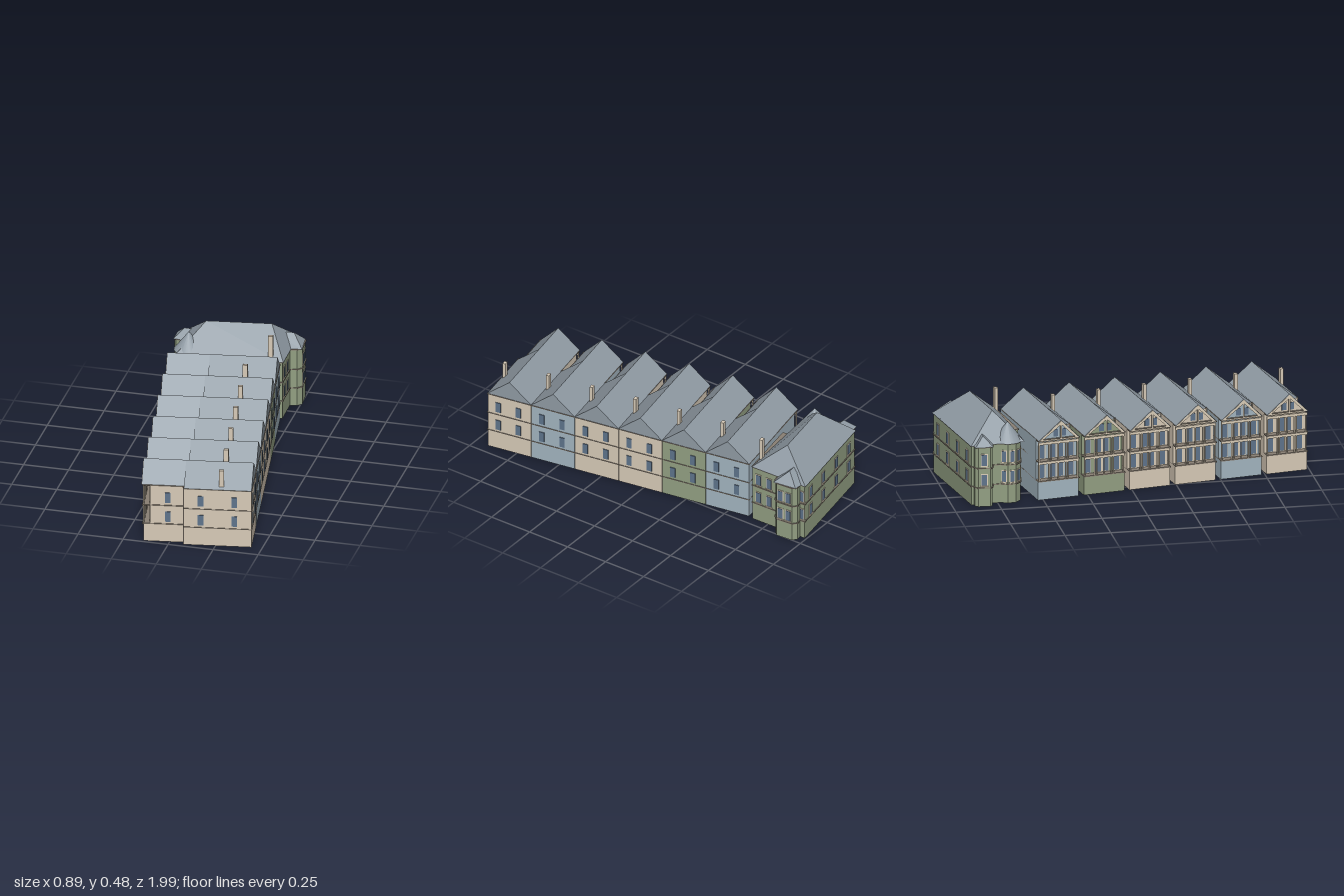
import * as THREE from 'three';

const mat = (color, extra = {}) => new THREE.MeshStandardMaterial({ color, flatShading: true, ...extra });
const M = {
  beige: mat(0xd8cbb8), blue: mat(0xa3b5c0), green: mat(0x93a083), roof: mat(0x909ba4),
  glass: mat(0x5f748c), trim: mat(0x8a8074), cream: mat(0xdccfb9),
};
const FLOORS = [0.15, 0.262];          // window centre heights
const BANDS = [0.105, 0.215, 0.333];   // string courses
const EAVE = 0.335, RIDGE = 0.442, ANGLE = 0.16;

function add(group, name, geometry, material) {
  const m = new THREE.Mesh(geometry, material);
  m.name = name;
  group.add(m);
  return m;
}

function box(group, name, material, x0, x1, y0, y1, z0, z1) {
  const m = add(group, name, new THREE.BoxGeometry(x1 - x0, y1 - y0, z1 - z0), material);
  m.position.set((x0 + x1) / 2, (y0 + y1) / 2, (z0 + z1) / 2);
  return m;
}

// Upright prism over a plan outline of [x, z] points
function prism(group, name, material, pts, y0, y1) {
  const shape = new THREE.Shape(pts.map(([x, z]) => new THREE.Vector2(x, -z)));
  const g = new THREE.ExtrudeGeometry(shape, { depth: y1 - y0, bevelEnabled: false });
  return add(group, name, g.rotateX(-Math.PI / 2).translate(0, y0, 0), material);
}

// A [z, y] cross-section, optionally with a hole, swept along x
function sweep(group, name, material, pts, x0, x1, hole) {
  const v = (p) => p.map(([z, y]) => new THREE.Vector2(-z, y));
  const shape = new THREE.Shape(v(pts));
  if (hole) shape.holes.push(new THREE.Path(v(hole)));
  const g = new THREE.ExtrudeGeometry(shape, { depth: x1 - x0, bevelEnabled: false });
  return add(group, name, g.rotateY(Math.PI / 2).translate(x0, 0, 0), material);
}

// Framed windows spaced along a wall from a to b, outside on the left of travel
function wallWindows(group, a, b, fractions, framed, width = 0.03) {
  const dx = b[0] - a[0], dz = b[1] - a[1], rot = -Math.atan2(dz, dx);
  for (const f of fractions) for (const y of FLOORS) {
    const put = (name, material, w, h, d, dy = 0) => {
      const m = add(group, name, new THREE.BoxGeometry(w, h, d), material);
      m.position.set(a[0] + dx * f, y + dy, a[1] + dz * f);
      m.rotation.y = rot;
    };
    if (framed) {
      put('windowFrame', M.cream, width + 0.008, 0.07, 0.005);
      put('windowSill', M.cream, width + 0.014, 0.005, 0.012, -0.036);
    }
    put('window', M.glass, width, 0.06, 0.008);
  }
}

// Terrace house: full-width rear part, narrower street part with loggias
function terraceHouse(wall, index) {
  const h = new THREE.Group();
  h.name = 'terraceHouse';
  const U0 = -0.296, UL = -0.26, US = -0.075, U1 = 0.29, W = 0.258, N = 0.232, mid = 0.129;

  box(h, 'rearWalls', wall, US, U1, 0, EAVE, 0, W);
  box(h, 'streetGroundFloor', wall, U0, US, 0, 0.105, 0, N);
  box(h, 'streetUpperWalls', wall, UL, US, 0.105, EAVE, 0, N);
  for (const y of BANDS) {
    box(h, 'rearStringCourse', M.trim, US - 0.003, U1 + 0.003, y - 0.002, y + 0.002, -0.001, W + 0.004);
    box(h, 'loggiaSlab', M.trim, U0 - 0.006, US, y - 0.003, y + 0.003, 0, N + 0.004);
  }
  box(h, 'downpipe', M.trim, US - 0.004, US, 0, 0.34, W - 0.004, W + 0.002);

  // roof
  sweep(h, 'rearRoof', M.roof, [[0, EAVE], [W + 0.003, EAVE], [mid, RIDGE]], US, U1);
  sweep(h, 'streetRoof', M.roof, [[0, EAVE], [N + 0.002, EAVE], [mid, RIDGE]], -0.272, US);
  sweep(h, 'roofOverhang', M.roof, [[0, EAVE], [N + 0.002, EAVE], [mid, RIDGE]], -0.304, -0.272,
    [[0.012, EAVE + 0.002], [N - 0.012, EAVE + 0.002], [mid, RIDGE - 0.012]]);
  sweep(h, 'gablePanel', wall, [[0.012, EAVE], [N - 0.012, EAVE], [mid, RIDGE - 0.011]], -0.277, -0.271);
  sweep(h, 'bargeboard', M.cream, [[0.004, EAVE], [N - 0.002, EAVE], [mid, RIDGE - 0.004]], -0.306, -0.3,
    [[0.026, EAVE + 0.006], [N - 0.024, EAVE + 0.006], [mid, RIDGE - 0.024]]);
  box(h, 'gablePost', M.cream, -0.305, -0.299, EAVE, RIDGE - 0.015, mid - 0.004, mid + 0.004);
  box(h, 'gableWindow', M.glass, -0.28, -0.27, 0.345, 0.385, mid - 0.035, mid - 0.008);
  box(h, 'gableWindow', M.glass, -0.28, -0.27, 0.345, 0.385, mid + 0.008, mid + 0.035);
  box(h, 'chimney', M.beige, 0.113, 0.139, 0.335, RIDGE, 0.228, 0.246);

  // loggias
  for (const y0 of [0.108, 0.218]) {
    const top = y0 + 0.112;
    box(h, 'loggiaBeam', M.cream, U0 - 0.003, U0 + 0.004, top - 0.02, top - 0.005, 0.002, N);
    for (const z of [0.006, 0.062, 0.074, 0.116, 0.158, 0.17, N - 0.006])
      box(h, 'loggiaPost', M.cream, U0 - 0.002, U0 + 0.004, y0, top - 0.005, z - 0.003, z + 0.003);
    for (const z of [0.034, 0.095, 0.137, 0.198]) {
      box(h, 'loggiaWindowFrame', M.cream, UL - 0.004, UL, y0 + 0.002, y0 + 0.09, z - 0.02, z + 0.02);
      box(h, 'loggiaWindow', M.glass, UL - 0.006, UL, y0 + 0.006, y0 + 0.084, z - 0.015, z + 0.015);
    }
  }

  // windows in the rear wall, and in the end wall of the first house
  wallWindows(h, [U1, 0], [U1, W], [0.29, 0.76], false);
  if (index === 0) {
    wallWindows(h, [U1, W], [US, W], [0.255, 0.753], false);
    wallWindows(h, [US, N], [UL, N], [0.48], false);
  }
  return h;
}

// Hipped roof from four eave corners and two ridge points
function hipRoof(group, name, c, r, y0, y1) {
  const p = [...c.map(([x, z]) => [x, y0, z]), ...r.map(([x, z]) => [x, y1, z])];
  const faces = [[0, 4, 5], [0, 5, 1], [1, 5, 2], [2, 5, 4], [2, 4, 3], [3, 4, 0]];
  const g = new THREE.BufferGeometry();
  g.setAttribute('position', new THREE.Float32BufferAttribute(faces.flat().flatMap((i) => p[i]), 3));
  g.computeVertexNormals();
  add(group, name, g, mat(0x909ba4, { side: THREE.DoubleSide }));
}

function cornerHouse() {
  const h = new THREE.Group();
  h.name = 'cornerHouse';
  const body = [[-0.4, -0.895], [0.195, -0.99], [0.2, -0.65], [-0.16, -0.595], [-0.165, -0.625], [-0.34, -0.625], [-0.38, -0.72]];
  const leftBay = [[-0.35, -0.775], [-0.425, -0.785], [-0.438, -0.8], [-0.432, -0.865], [-0.418, -0.88], [-0.35, -0.885]];
  const rightBay = [[0.17, -0.955], [0.225, -0.965], [0.25, -0.945], [0.258, -0.85], [0.235, -0.825], [0.17, -0.815]];
  const turret = Array.from({ length: 10 }, (_, i) => {
    const a = (i / 10) * Math.PI * 2 + 0.15;
    return [-0.33 + 0.072 * Math.cos(a), -0.685 + 0.072 * Math.sin(a)];
  });

  // walls with string courses
  const parts = { mainWalls: body, leftBayWalls: leftBay, rightBayWalls: rightBay, turretWalls: turret };
  for (const [name, pts] of Object.entries(parts)) {
    prism(h, name, M.green, pts, 0, EAVE);
    const cx = pts.reduce((s, p) => s + p[0], 0) / pts.length;
    const cz = pts.reduce((s, p) => s + p[1], 0) / pts.length;
    const out = pts.map(([x, z]) => [x + Math.sign(x - cx) * 0.004, z + Math.sign(z - cz) * 0.004]);
    for (const y of BANDS) prism(h, 'stringCourse', M.trim, out, y - 0.002, y + 0.003);
  }

  // windows
  wallWindows(h, body[0], body[1], [0.12, 0.37, 0.63, 0.88], true);
  wallWindows(h, body[1], body[2], [0.06, 0.68, 0.88], true);
  wallWindows(h, body[2], body[3], [0.3, 0.7], true);
  wallWindows(h, leftBay[3], leftBay[2], [0.5], false);
  wallWindows(h, leftBay[2], leftBay[3], [0.5], true);
  wallWindows(h, rightBay[2], rightBay[3], [0.25, 0.75], true);
  for (const i of [3, 4, 5])
    wallWindows(h, turret[i], turret[i + 1], [0.5], true, 0.022);
  wallWindows(h, turret[2], turret[3], [0.5], true, 0.022);

  // roofs
  hipRoof(h, 'mainRoof', [[-0.408, -0.9], [0.2, -0.998], [0.206, -0.648], [-0.38, -0.6]],
    [[-0.25, -0.755], [0.1, -0.81]], EAVE, 0.48);
  hipRoof(h, 'leftBayRoof', [[-0.442, -0.882], [-0.28, -0.9], [-0.28, -0.76], [-0.442, -0.784]],
    [[-0.39, -0.832], [-0.26, -0.825]], EAVE, 0.385);
  hipRoof(h, 'rightBayRoof', [[0.08, -0.98], [0.245, -0.965], [0.262, -0.83], [0.08, -0.8]],
    [[0.08, -0.885], [0.2, -0.895]], EAVE, 0.4);
  const cone = add(h, 'turretRoof', new THREE.ConeGeometry(0.082, 0.105, 20), mat(0x909ba4, { flatShading: false }));
  cone.position.set(-0.328, EAVE + 0.0525, -0.685);
  const stack = box(h, 'chimney', M.beige, 0.119, 0.145, 0.335, 0.48, -0.672, -0.654);
  stack.rotation.y = ANGLE;
  return h;
}

export function createModel() {
  const model = new THREE.Group();
  model.name = 'terraceRow';

  // six stepped houses along a slanted street
  const row = new THREE.Group();
  row.name = 'houses';
  row.rotation.y = ANGLE;
  [M.beige, M.blue, M.beige, M.beige, M.green, M.blue].forEach((wall, i) => {
    const house = terraceHouse(wall, i);
    house.position.z = 0.721 - 0.261 * i;
    row.add(house);
  });
  model.add(row, cornerHouse());
  return model;
}
